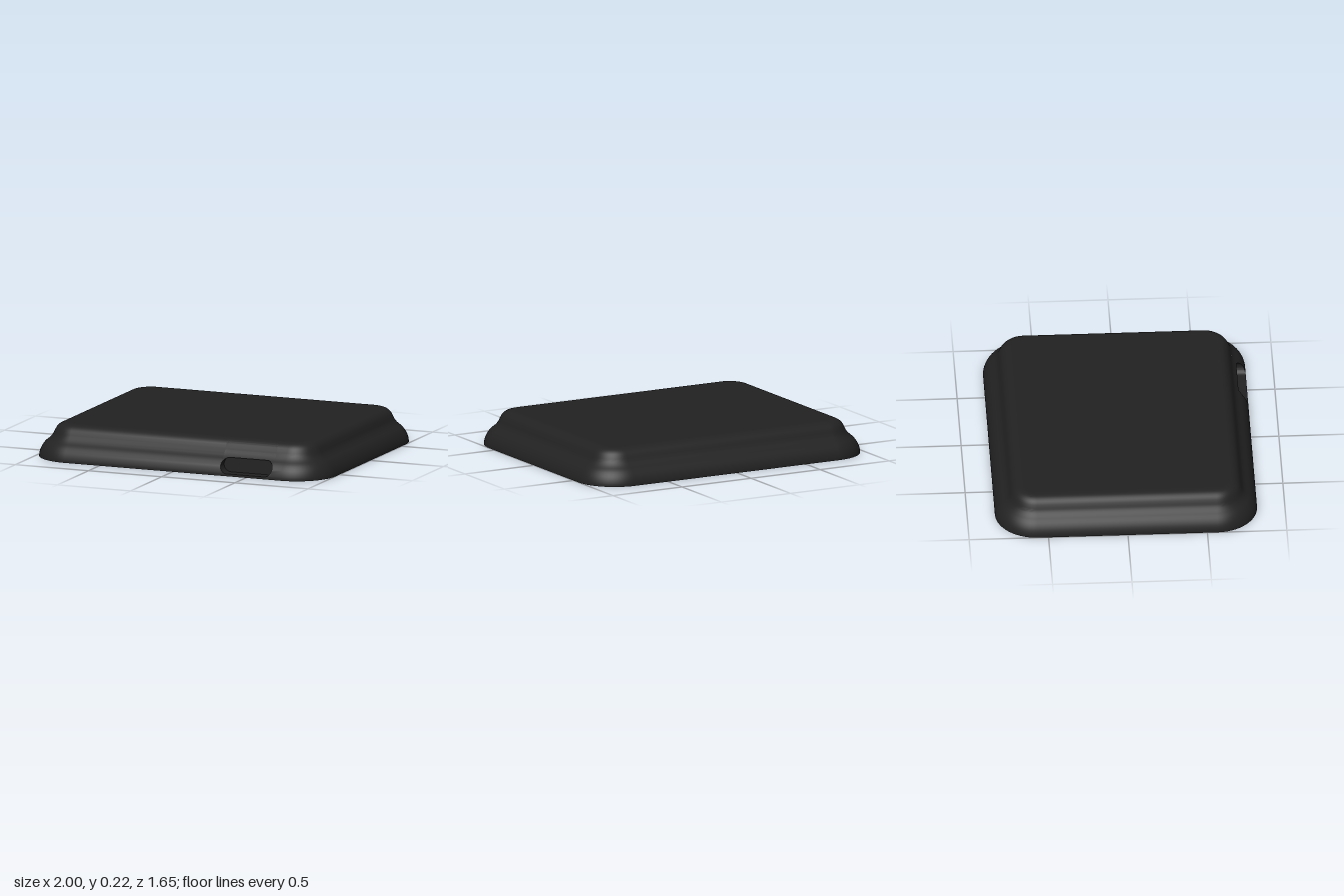
import * as THREE from 'three';
import { mergeGeometries, toCreasedNormals } from 'three/addons/utils/BufferGeometryUtils.js';

const HX = 1, HZ = 0.825, R = 0.26;            // footprint half sizes and corner radius
const CORNER = 14, ROWS = 28;
const slot = { x: 0.495, y: 0.0625, r: 0.0475, half: 0.1275, back: 0.75 };

// Wall profile from base to top: x = inset from the footprint, y = height
const profile = new THREE.CatmullRomCurve3([
  [0, 0], [0.002, 0.02], [0.014, 0.055], [0.038, 0.09], [0.068, 0.116], [0.088, 0.14],
  [0.1, 0.165], [0.115, 0.19], [0.139, 0.209], [0.165, 0.2165], [0.185, 0.217],
].map(([d, y]) => new THREE.Vector3(d, y, 0)));

// Profile parameter at a given height
function paramAt(y) {
  let lo = 0, hi = 1;
  for (let i = 0; i < 30; i++) {
    const mid = (lo + hi) / 2;
    if (profile.getPoint(mid).y < y) lo = mid; else hi = mid;
  }
  return lo;
}

// Grid surface from point(i, v): i is the column index, v runs 0..1
function sheet(columns, rows, point) {
  const pos = [], index = [];
  for (let i = 0; i < columns; i++) {
    for (let j = 0; j <= rows; j++) pos.push(...point(i, j / rows));
  }
  const n = rows + 1;
  for (let i = 0; i < columns - 1; i++) {
    for (let j = 0; j < rows; j++) {
      const a = i * n + j, b = a + n;
      index.push(a, b, b + 1, a, b + 1, a + 1);
    }
  }
  const g = new THREE.BufferGeometry();
  g.setAttribute('position', new THREE.Float32BufferAttribute(pos, 3));
  g.setIndex(index);
  return g;
}

// Rounded-rectangle outline as corner centres with outward directions,
// open along the straight front edge
const outline = [];
[[1, 1], [1, -1], [-1, -1], [-1, 1]].forEach(([sx, sz], q) => {
  for (let k = 0; k <= CORNER; k++) {
    const a = (q + k / CORNER) * Math.PI / 2;
    outline.push([sx * (HX - R), sz * (HZ - R), Math.sin(a), Math.cos(a)]);
  }
});
const ringPoint = ([cx, cz, dx, dz], p) => [cx + dx * (R - p.x), p.y, cz + dz * (R - p.x)];

// Flat cap closing the outline at one end of the profile
function cap(t, up) {
  const p = profile.getPoint(t);
  const pts = outline.map(o => {
    const [x, , z] = ringPoint(o, p);
    return new THREE.Vector2(x, z);
  });
  const g = new THREE.ShapeGeometry(new THREE.Shape(pts));
  g.rotateX(up ? -Math.PI / 2 : Math.PI / 2);
  return g.translate(0, p.y, 0);
}

// Strip of the front wall; each column is [x, start param, end param]
function frontStrip(cols) {
  return sheet(cols.length, ROWS, (i, v) => {
    const [x, t0, t1] = cols[i];
    const p = profile.getPoint(t0 + (t1 - t0) * v);
    return [x, p.y, HZ - p.x];
  });
}

export function createModel() {
  const group = new THREE.Group();
  const material = new THREE.MeshStandardMaterial({ color: 0x222222 });
  const add = (name, parts) => {
    const plain = parts.map(g => {
      const f = g.index ? g.toNonIndexed() : g;
      f.deleteAttribute('uv');
      f.deleteAttribute('normal');
      return f;
    });
    const mesh = new THREE.Mesh(toCreasedNormals(mergeGeometries(plain), 0.65), material);
    mesh.name = name;
    group.add(mesh);
  };

  // Slot columns: x and half height, left to right
  const columns = [];
  for (const side of [-1, 1]) {
    for (let k = 0; k <= 10; k++) {
      const a = (k / 10) * Math.PI / 2;
      const c = side < 0 ? Math.cos(a) : Math.sin(a);
      const s = side < 0 ? Math.sin(a) : Math.cos(a);
      columns.push([slot.x + side * (slot.half + slot.r * c), slot.r * s]);
    }
  }
  const left = columns[0][0], right = columns[columns.length - 1][0], edge = HX - R;

  // Shell: stepped wall all round, with an opening left in the front
  add('body', [
    sheet(outline.length, ROWS, (i, v) => ringPoint(outline[i], profile.getPoint(v))),
    frontStrip([[-edge, 0, 1], [left, 0, 1]]),
    frontStrip([[right, 0, 1], [edge, 0, 1]]),
    frontStrip(columns.map(([x, h]) => [x, 0, paramAt(slot.y - h)])),
    frontStrip(columns.map(([x, h]) => [x, paramAt(slot.y + h), 1])),
    cap(1, true),
    cap(0, false),
  ]);

  // Recessed port: inner wall and flat back
  const loop = [
    ...columns.map(([x, h]) => [x, slot.y - h]),
    ...columns.slice(0, -1).reverse().map(([x, h]) => [x, slot.y + h]),
  ];
  add('portRecess', [
    sheet(loop.length, 1, (i, v) => {
      const [x, y] = loop[i];
      const z = HZ - profile.getPoint(paramAt(y)).x;
      return [x, y, z + (slot.back - z) * v];
    }),
    new THREE.ShapeGeometry(new THREE.Shape(
      loop.slice(0, -1).map(([x, y]) => new THREE.Vector2(x, y)))).translate(0, 0, slot.back),
  ]);

  return group;
}
